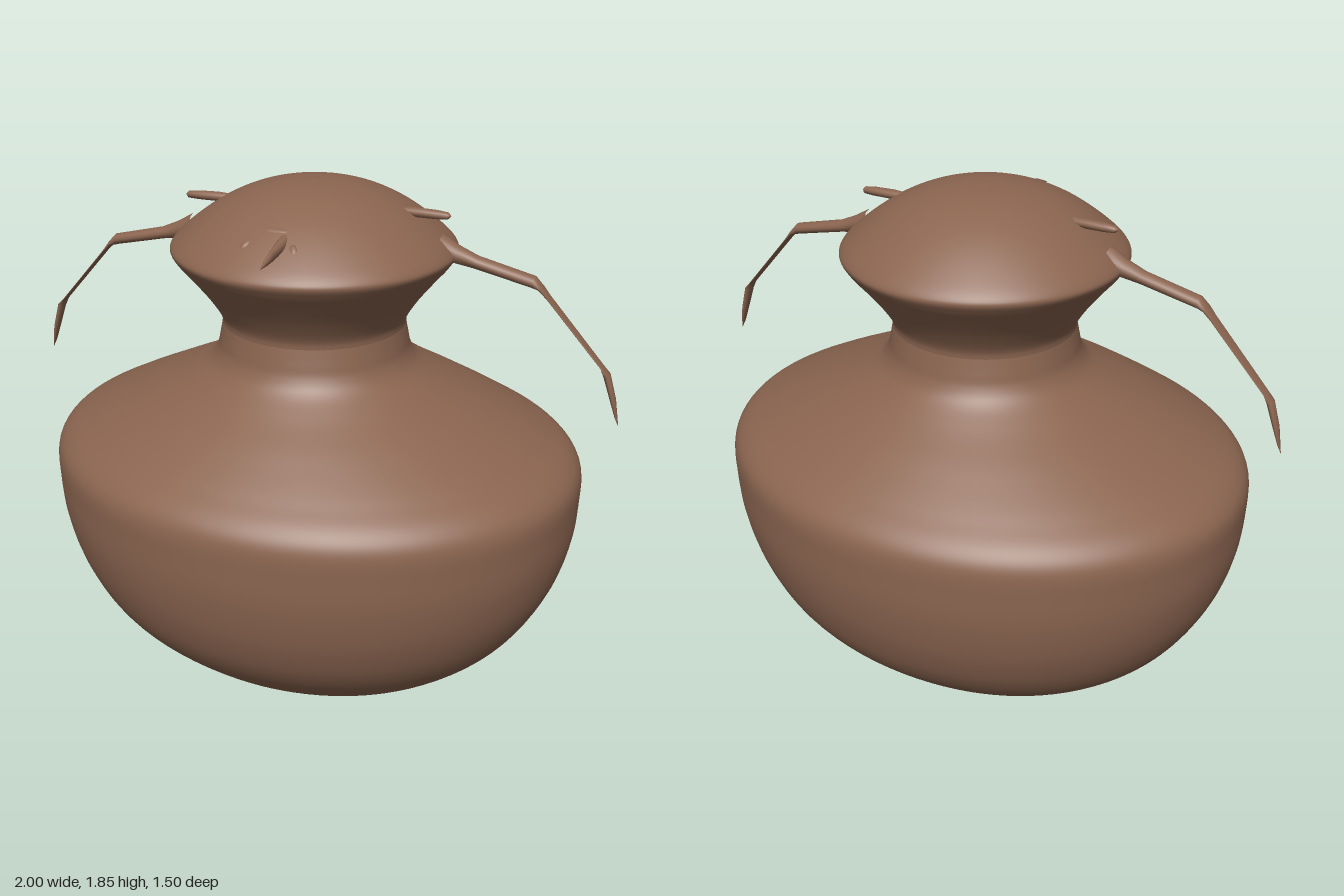
import * as THREE from 'three';
import { mergeVertices } from 'three/addons/utils/BufferGeometryUtils.js';

const clay = new THREE.MeshStandardMaterial({ color: 0x8b6550 });
clay.name = 'brown clay';

function add(parent, name, geometry) {
  const mesh = new THREE.Mesh(geometry, clay);
  mesh.name = name;
  parent.add(mesh);
  return mesh;
}

// Smooth lathe from [radius, y] points; depth(y) squashes it along z
function turned(points, steps, depth = () => 1) {
  const curve = new THREE.CatmullRomCurve3(
    points.map(([r, y]) => new THREE.Vector3(r, y, 0)), false, 'centripetal');
  const profile = curve.getPoints(steps).map(p => new THREE.Vector2(Math.max(p.x, 0), p.y));
  let g = new THREE.LatheGeometry(profile, 96);
  const pos = g.attributes.position;
  for (let i = 0; i < pos.count; i++) pos.setZ(i, pos.getZ(i) * depth(pos.getY(i)));
  g.deleteAttribute('uv');
  g.deleteAttribute('normal');
  g = mergeVertices(g, 1e-5);
  g.computeVertexNormals();
  return g;
}

// Limb with oval cross-sections: [x, y, half thickness, half width along z]
function limb(sections, sides = 12) {
  const pos = [], index = [];
  sections.forEach(([x, y, t, w], i) => {
    const a = sections[Math.max(i - 1, 0)], b = sections[Math.min(i + 1, sections.length - 1)];
    const T = new THREE.Vector2(b[0] - a[0], b[1] - a[1]).normalize();
    for (let j = 0; j < sides; j++) {
      const s = j / sides * Math.PI * 2, c = Math.cos(s) * t;
      pos.push(x - T.y * c, y + T.x * c, Math.sin(s) * w);
      if (i === sections.length - 1) continue;
      const p = i * sides + j, q = i * sides + (j + 1) % sides;
      index.push(p, q, q + sides, p, q + sides, p + sides);
    }
  });
  const g = new THREE.BufferGeometry();
  g.setAttribute('position', new THREE.Float32BufferAttribute(pos, 3));
  g.setIndex(index);
  g.computeVertexNormals();
  return g;
}

// Small rounded lump, stretched and placed on the head
function lump(parent, name, size, at, turn = [0, 0, 0]) {
  const m = add(parent, name, new THREE.SphereGeometry(1, 16, 10));
  m.scale.set(...size);
  m.position.set(...at);
  m.rotation.set(...turn);
}

export function createModel() {
  const model = new THREE.Group();
  model.name = 'jarCreature';

  // Oval belly and shoulders, becoming round at the neck
  const { smoothstep, lerp } = THREE.MathUtils;
  const depth = y => lerp(lerp(0.78, 0.83, smoothstep(y, 0.15, 0.5)), 1, smoothstep(y, 1.0, 1.33));
  add(model, 'body', turned([
    [0, 0.005], [0.12, 0.017], [0.25, 0.055], [0.4, 0.135], [0.5, 0.185], [0.61, 0.25],
    [0.75, 0.385], [0.85, 0.56], [0.895, 0.72], [0.905, 0.85], [0.9, 0.95], [0.865, 1.0],
    [0.77, 1.055], [0.6, 1.135], [0.43, 1.215], [0.345, 1.27], [0.318, 1.31], [0.308, 1.35],
    [0.298, 1.4],
  ], 110, depth));

  // Flared neck and domed head
  add(model, 'head', turned([
    [0.298, 1.39], [0.302, 1.42], [0.34, 1.485], [0.4, 1.562], [0.44, 1.61], [0.457, 1.64],
    [0.45, 1.658], [0.4, 1.705], [0.3, 1.775], [0.2, 1.821], [0.1, 1.845], [0, 1.852],
  ], 70));

  // Arms and ears, the second side turned half round
  for (const side of [1, -1]) {
    const half = new THREE.Group();
    half.name = side > 0 ? 'leftSide' : 'rightSide';
    half.rotation.y = side > 0 ? 0 : Math.PI;
    model.add(half);
    const arm = add(half, 'arm', limb([
      [0.4, 1.665, 0.045, 0.045], [0.46, 1.65, 0.028, 0.03], [0.52, 1.633, 0.02, 0.026],
      [0.7, 1.592, 0.018, 0.026], [0.725, 1.575, 0.008, 0.026], [0.75, 1.548, 0.003, 0.025],
      [0.93, 1.35, 0.003, 0.022], [0.948, 1.325, 0.011, 0.021], [0.975, 1.245, 0.009, 0.017],
      [0.99, 1.19, 0.004, 0.01], [1.0, 1.16, 0, 0],
    ]));
    arm.position.z = -0.032;
    const ear = add(half, 'ear', limb([
      [0.27, 1.77, 0.012, 0.012], [0.32, 1.77, 0.015, 0.018], [0.39, 1.769, 0.014, 0.017],
      [0.425, 1.768, 0.011, 0.013], [0.436, 1.768, 0, 0],
    ]));
    ear.position.z = -0.026;

    // Eyelids and mouth corners
    lump(model, 'eyelid', [0.008, 0.009, 0.032], [side * 0.118, 1.794, 0.21], [0.4, -side * 0.35, 0]);
    lump(model, 'mouthCorner', [0.012, 0.007, 0.02], [side * 0.075, 1.729, 0.355], [0.7, side * 0.5, 0]);
  }

  // Crease above the nose
  lump(model, 'brow', [0.05, 0.007, 0.014], [0, 1.764, 0.308], [0.6, 0, 0]);

  // Thin crooked nose
  const nose = add(model, 'nose', limb([
    [0.3, 1.752, 0.014, 0.016], [0.36, 1.735, 0.018, 0.016], [0.42, 1.725, 0.016, 0.01],
    [0.46, 1.716, 0.009, 0.007], [0.502, 1.708, 0, 0],
  ]));
  nose.rotation.y = -Math.PI / 2;
  nose.position.x = 0.035;

  return model;
}
